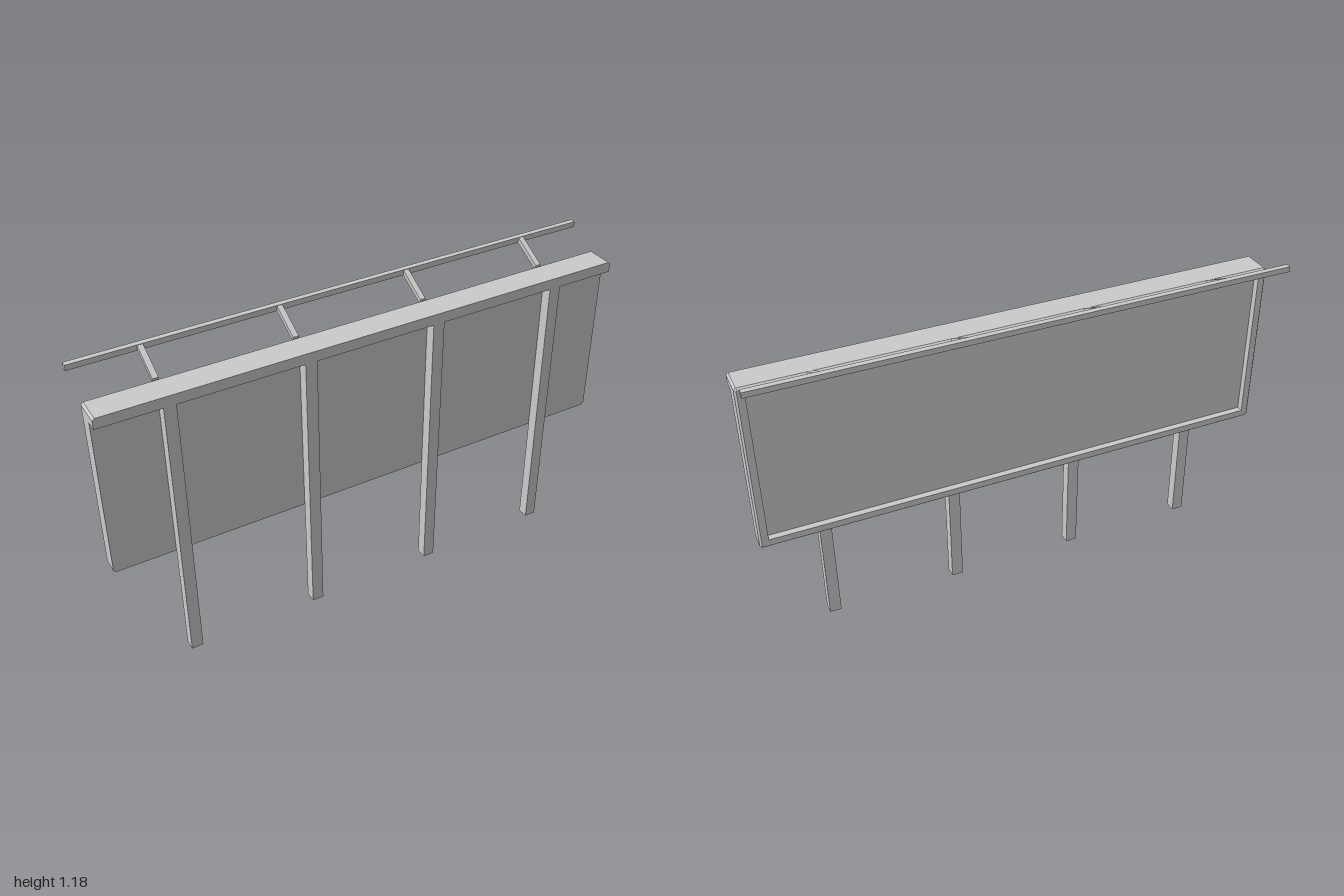
import * as THREE from 'three';

const material = new THREE.MeshStandardMaterial({ color: 0xcccccc, flatShading: true, side: THREE.DoubleSide });

const BOTTOM = 0.447, TOP = 1.11, FRONT = 0.122, PANEL_FRONT = 0.08, CHAMFER = 0.008;

function addMesh(group, name, geometry, x = 0, y = 0, z = 0) {
  const mesh = new THREE.Mesh(geometry, material);
  mesh.name = name;
  mesh.position.set(x, y, z);
  group.add(mesh);
  return mesh;
}

// Rectangle with cut corners, inset by d, counter-clockwise seen from the front
function outline(d, z) {
  const c = Math.max(0, CHAMFER - d * (2 - Math.SQRT2));
  const x = 1 - d, b = BOTTOM + d, t = TOP - d;
  return [
    [-x + c, b], [x - c, b], [x, b + c], [x, t - c],
    [x - c, t], [-x + c, t], [-x, t - c], [-x, b + c],
  ].map(([px, py]) => [px, py, z]);
}

// Skin consecutive loops and close both ends
function skinLoops(loops) {
  const n = loops[0].length, index = [];
  for (let i = 0; i < loops.length - 1; i++) {
    for (let j = 0; j < n; j++) {
      const a = i * n + j, b = i * n + (j + 1) % n, c = a + n, d = b + n;
      index.push(a, c, b, b, c, d);
    }
  }
  const last = (loops.length - 1) * n;
  for (let j = 1; j < n - 1; j++) {
    index.push(0, j, j + 1);
    index.push(last, last + j + 1, last + j);
  }
  const geometry = new THREE.BufferGeometry();
  geometry.setAttribute('position', new THREE.Float32BufferAttribute(loops.flat(2), 3));
  geometry.setIndex(index);
  const flat = geometry.toNonIndexed();
  flat.computeVertexNormals();
  return flat;
}

function shapeFrom(points) {
  return new THREE.Shape(points.map(([x, y]) => new THREE.Vector2(x, y)));
}

export function createModel() {
  const model = new THREE.Group();
  model.name = 'billboard';

  // Display box: bevelled rim at the back around a recessed face
  addMesh(model, 'displayPanel', skinLoops([
    outline(0, PANEL_FRONT),
    outline(0, 0.02),
    outline(0.007, 0.012),
    outline(0.033, 0.012),
    outline(0.033, 0.037),
  ]));

  // Top beam with cut upper corners
  const beam = shapeFrom([
    [-1, 1.07], [1, 1.07], [1, TOP - CHAMFER], [1 - CHAMFER, TOP],
    [-1 + CHAMFER, TOP], [-1, TOP - CHAMFER],
  ]);
  addMesh(model, 'topBeam',
    new THREE.ExtrudeGeometry(beam, { depth: FRONT - PANEL_FRONT, bevelEnabled: false }), 0, 0, PANEL_FRONT);

  // Posts and sloping lamp arms
  const postGeometry = new THREE.BoxGeometry(0.044, 1.07, FRONT - PANEL_FRONT);
  const armWidth = 0.021;
  // Side profile as (-z, y), turned so that the extrusion runs along x
  const armShape = shapeFrom([[-0.014, 1.095], [0.104, 1.157], [0.104, 1.178], [-0.014, 1.114]]);
  const armGeometry = new THREE.ExtrudeGeometry(armShape, { depth: armWidth, bevelEnabled: false });
  armGeometry.translate(0, 0, -armWidth / 2).rotateY(Math.PI / 2);
  for (const x of [-0.75, -0.25, 0.25, 0.75]) {
    addMesh(model, 'post', postGeometry, x, 0.535, (FRONT + PANEL_FRONT) / 2);
    addMesh(model, 'lampArm', armGeometry, x);
  }

  // Lamp rail behind and above the panel
  addMesh(model, 'lampRail', new THREE.BoxGeometry(2, 0.021, 0.021), 0, 1.1675, -0.1115);

  return model;
}
